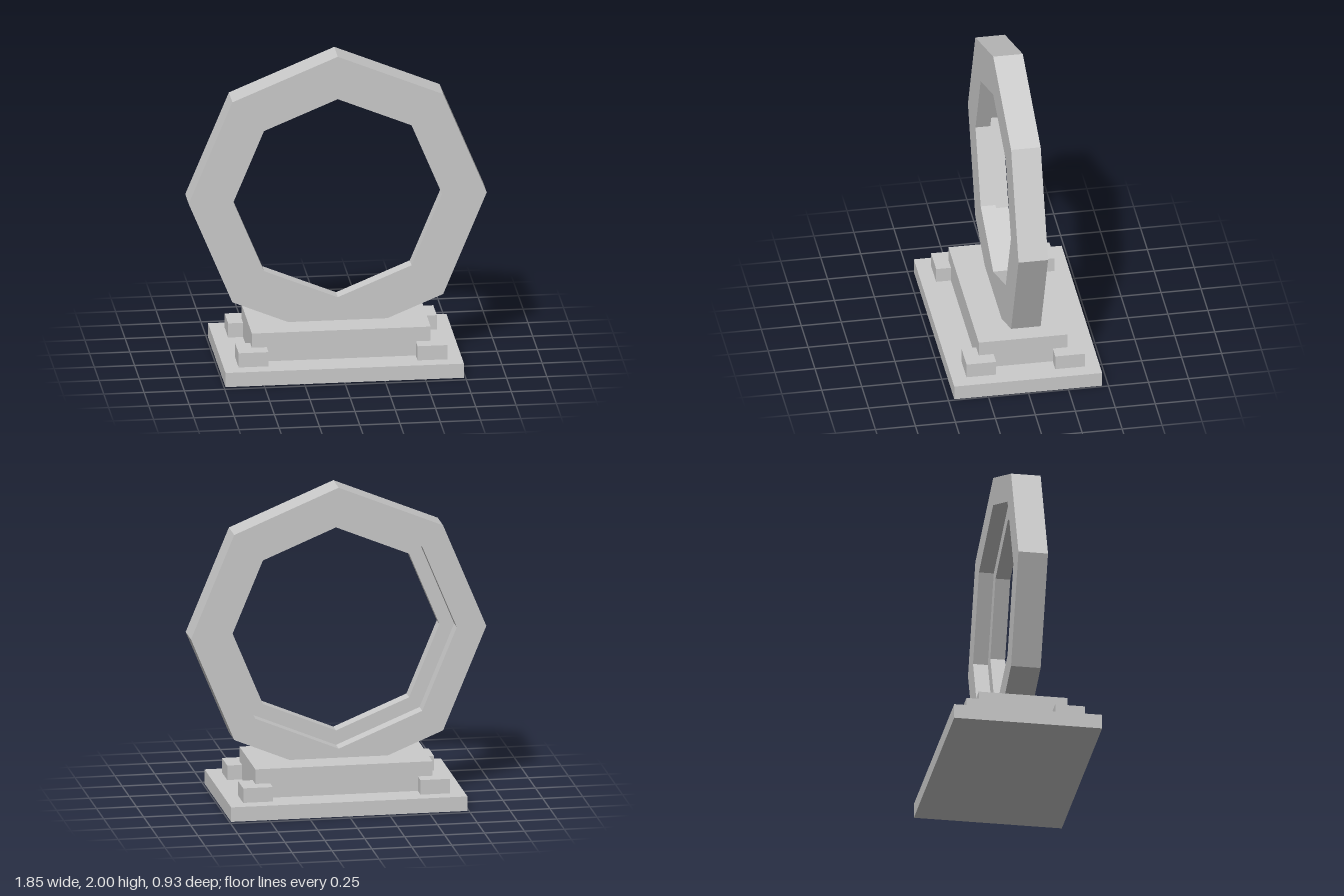
import * as THREE from 'three';

const U = 0.0925; // modular unit: every part is a multiple of this
const material = new THREE.MeshStandardMaterial({ color: 0xcccccc, flatShading: true });

function addBox(parent, name, size, pos) {
  const mesh = new THREE.Mesh(new THREE.BoxGeometry(...size.map((v) => v * U)), material);
  mesh.position.set(...pos.map((v) => v * U));
  mesh.name = name;
  parent.add(mesh);
}

function octagon(radius) {
  return Array.from({ length: 8 }, (_, i) => {
    const a = (i * Math.PI) / 4;
    return new THREE.Vector2(Math.cos(a) * radius, Math.sin(a) * radius);
  });
}

// Closed ring swept from a [radius, z] cross-section, counter-clockwise
function octagonRing(section) {
  const positions = [];
  const rings = section.map(([r, z]) => octagon(r * U).map((p) => [p.x, p.y, z * U]));
  for (let j = 0; j < section.length; j++) {
    const a = rings[j];
    const b = rings[(j + 1) % section.length];
    for (let i = 0; i < 8; i++) {
      const k = (i + 1) % 8;
      positions.push(...a[i], ...a[k], ...b[k], ...a[i], ...b[k], ...b[i]);
    }
  }
  const geometry = new THREE.BufferGeometry();
  geometry.setAttribute('position', new THREE.Float32BufferAttribute(positions, 3));
  geometry.computeVertexNormals();
  return geometry;
}

export function createModel() {
  const model = new THREE.Group();
  model.name = 'ringOnPedestal';

  // Stepped pedestal
  addBox(model, 'basePlate', [16, 1, 10], [0, 0.5, 0]);
  addBox(model, 'upperStep', [12, 2, 6], [0, 2, 0]);
  for (const x of [-1, 1]) {
    for (const z of [-1, 1]) {
      addBox(model, 'cornerBlock', [2, 1, 2], [x * 6, 1.5, z * 3]);
    }
  }

  // Octagonal ring with a rebate cut into the back of its opening
  const section = [[10, -1], [10, 1], [7, 1], [7, 0], [8, 0], [8, -1]];
  const ring = new THREE.Mesh(octagonRing(section), material);
  ring.name = 'octagonalRing';
  ring.position.y = 2 - 10 * U;
  model.add(ring);

  return model;
}
